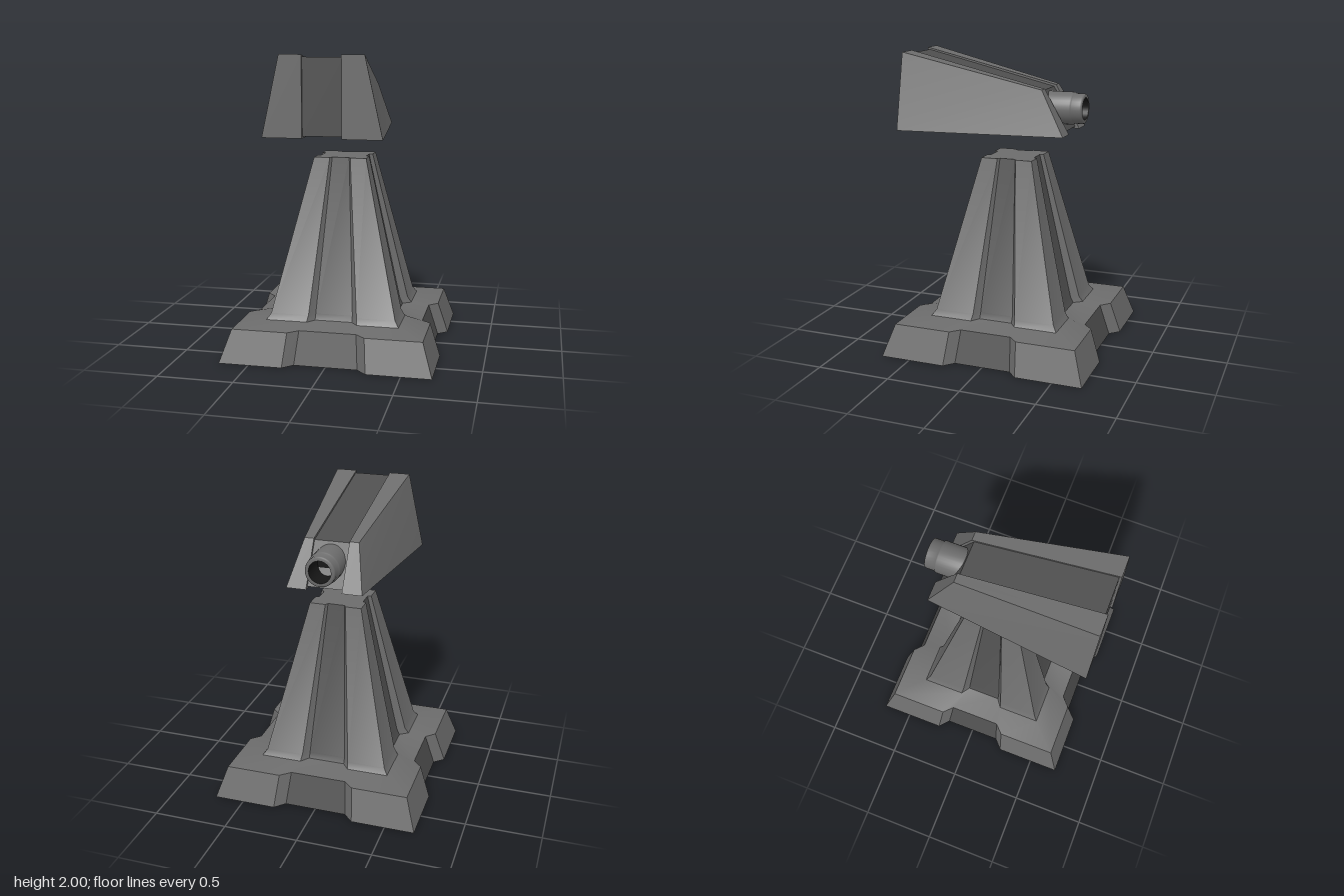
import * as THREE from 'three';
import { toCreasedNormals } from 'three/addons/utils/BufferGeometryUtils.js';

const hull = new THREE.MeshStandardMaterial({ color: 0x6c6c6c });
const recess = new THREE.MeshStandardMaterial({ color: 0x4f4f4f });
const black = new THREE.MeshStandardMaterial({ color: 0x161616 });

// Closed solid through rings (counter-clockwise from above, bottom to top).
// Faces for which isRecess(side, level) holds take the second material.
function loft(rings, isRecess = () => false) {
  const pos = [];
  const g = new THREE.BufferGeometry();
  const face = (material, ...pts) => {
    g.addGroup(pos.length / 3, pts.length, material);
    pts.forEach((p) => pos.push(...p));
  };
  const n = rings[0].length;
  const middle = (ring) => [0, 1, 2].map((k) => ring.reduce((sum, p) => sum + p[k], 0) / n);
  const first = rings[0], last = rings[rings.length - 1];
  const low = middle(first), high = middle(last);
  for (let i = 0; i < n; i++) {
    const j = (i + 1) % n;
    for (let r = 0; r + 1 < rings.length; r++) {
      const a = rings[r], b = rings[r + 1];
      face(isRecess(i, r) ? 1 : 0, a[i], a[j], b[j], a[i], b[j], b[i]);
    }
    face(0, low, first[j], first[i]);
    face(0, high, last[i], last[j]);
  }
  g.setAttribute('position', new THREE.Float32BufferAttribute(pos, 3));
  return toCreasedNormals(g, 0.4);
}

// Square outline with a tapered notch in each side:
// h = half size, d = notch floor distance, a / b = notch half width at mouth / floor
function notchedSquare({ y, h, d, a, b }) {
  const ring = [];
  for (let k = 0; k < 4; k++) {
    const s = k % 2 ? 0.92 : 1; // side notches are slightly narrower
    for (const [u, v] of [[-h, h], [-a * s, h], [-b * s, d], [b * s, d], [a * s, h]]) {
      const [x, z] = [[u, v], [v, -u], [-u, -v], [-v, u]][k];
      ring.push([x, y, z]);
    }
  }
  return ring;
}

function part(name, geometry, material) {
  const mesh = new THREE.Mesh(geometry, material);
  mesh.name = name;
  return mesh;
}

// Turned part pointing backward from the head
function turned(name, points, material) {
  const profile = points.map(([r, l]) => new THREE.Vector2(r, l));
  const geometry = toCreasedNormals(new THREE.LatheGeometry(profile, 32), 0.9);
  geometry.rotateX(-Math.PI / 2);
  const mesh = part(name, geometry, material);
  mesh.position.set(0, 1.645, -0.22);
  return mesh;
}

export function createModel() {
  const model = new THREE.Group();
  model.name = 'turret';

  // Stepped foot flowing into the tapered tower, with darker groove floors
  const levels = [
    { y: 0, h: 0.7, d: 0.635, a: 0.275, b: 0.21 },
    { y: 0.215, h: 0.63, d: 0.57, a: 0.255, b: 0.19 },
    { y: 0.235, h: 0.447, d: 0.39, a: 0.17, b: 0.125 },
    { y: 0.275, h: 0.42, d: 0.37, a: 0.163, b: 0.125 },
    { y: 1.305, h: 0.178, d: 0.155, a: 0.07, b: 0.058 },
  ];
  const grooveFloor = (side, level) => side % 5 === 2 && level !== 1;
  model.add(part('pedestal', loft(levels.map(notchedSquare), grooveFloor), [hull, recess]));

  // Head: two tapered cheeks around a slightly recessed dark core
  const head = new THREE.Group();
  head.name = 'head';
  const cheek = [
    [[0.124, 1.49, 0.705], [0.38, 1.49, 0.705], [0.253, 1.49, -0.415], [0.119, 1.49, -0.415]],
    [[0.124, 2, 0.705], [0.267, 2, 0.705], [0.182, 1.78, -0.247], [0.119, 1.78, -0.247]],
  ];
  const mirrored = cheek.map((ring) => ring.map(([x, y, z]) => [-x, y, z]).reverse());
  head.add(part('leftCheek', loft(cheek), [hull]), part('rightCheek', loft(mirrored), [hull]));

  const w = 0.13;
  head.add(part('core', loft([
    [[-w, 1.503, 0.69], [w, 1.503, 0.69], [w, 1.503, -0.385], [-w, 1.503, -0.385]],
    [[-w, 1.985, 0.69], [w, 1.985, 0.69], [w, 1.768, -0.233], [-w, 1.768, -0.233]],
  ]), [recess]));

  // Hollow barrel with a narrower rounded muzzle
  head.add(turned('barrel', [
    [0.108, 0], [0.108, 0.188], [0.105, 0.197], [0.1, 0.202],
    [0.1, 0.258], [0.097, 0.267], [0.091, 0.27], [0.074, 0.27],
  ], hull));
  head.add(turned('bore', [[0.074, 0.27], [0.072, 0.1], [0, 0.1]], black));

  model.add(head);
  return model;
}
